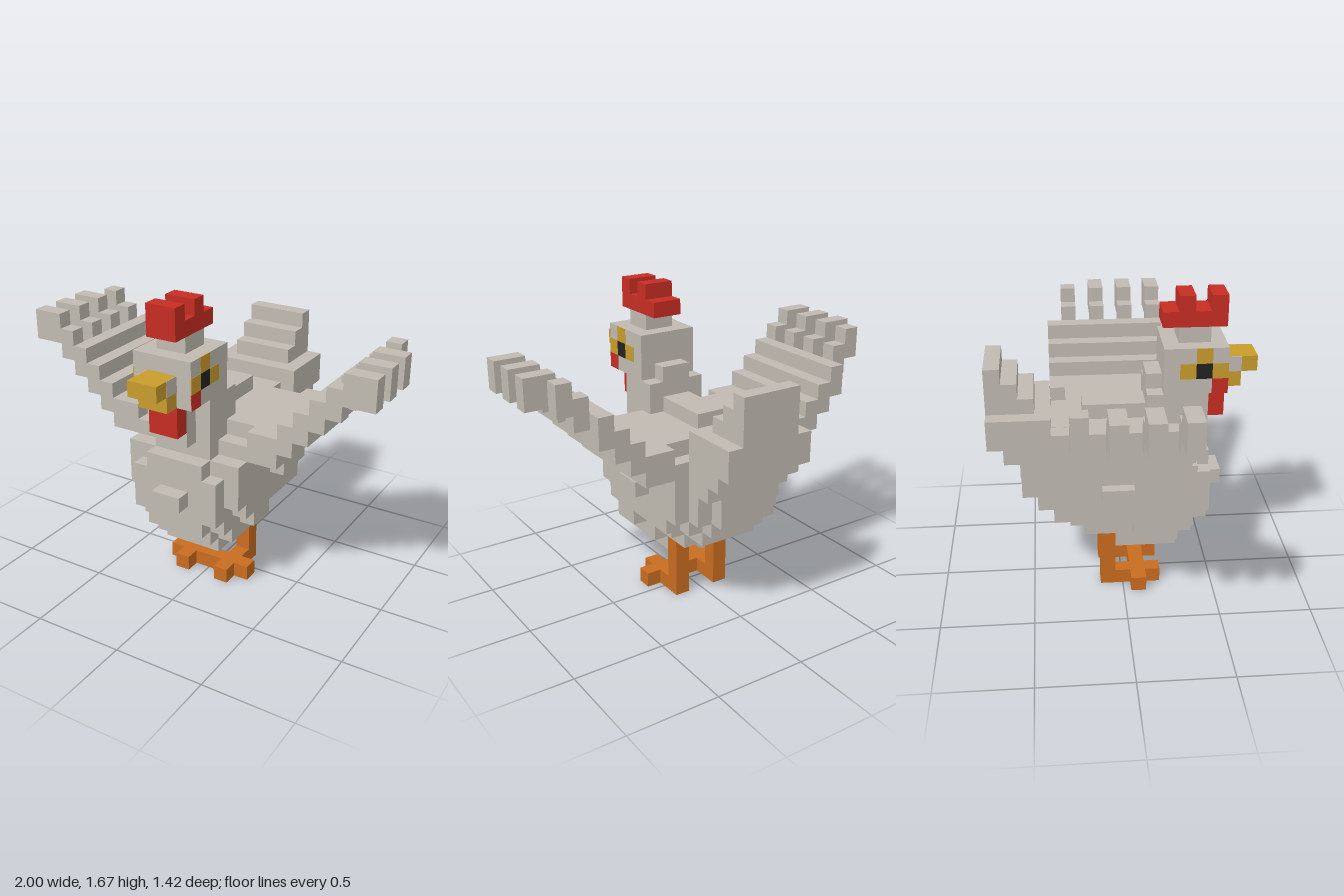
import * as THREE from 'three';

const U = 1 / 12; // one block

const flat = (name, color) => {
  const m = new THREE.MeshStandardMaterial({ color });
  m.name = name;
  return m;
};

export function createModel() {
  const model = new THREE.Group();
  model.name = 'rooster';
  const grey = flat('feather grey', 0xc0bab1);
  const red = flat('comb red', 0xc62d23);
  const gold = flat('beak gold', 0xc89d2c);
  const orange = flat('leg orange', 0xc96c20);
  const black = flat('eye black', 0x222222);

  // Box between two corners given in blocks
  const block = (name, mat, x0, x1, y0, y1, z0, z1) => {
    const g = new THREE.BoxGeometry((x1 - x0) * U, (y1 - y0) * U, (z1 - z0) * U);
    const mesh = new THREE.Mesh(g, mat);
    mesh.position.set((x0 + x1) / 2 * U, (y0 + y1) / 2 * U, (z0 + z1) / 2 * U);
    mesh.name = name;
    model.add(mesh);
  };
  const centred = (name, mat, w, ...r) => block(name, mat, -w, w, ...r);
  const mirrored = (name, mat, x0, x1, ...r) => {
    block('left ' + name, mat, x0, x1, ...r);
    block('right ' + name, mat, -x1, -x0, ...r);
  };

  // Body, in stepped layers: half width, bottom, top, back, front
  [
    [2, 3, 4, -0.5, 3.5],
    [2, 4, 5, -2.5, 4.5], [3, 4, 5, -0.5, 3.5],
    [2, 5, 6, -4.5, 5.5], [3, 5, 6, -2.5, 4.5], [4, 5, 6, 0.5, 2.5],
    [3, 6, 7, -4.5, 4.5], [2, 6, 7, -5.5, 5.5], [3, 6, 7, -4.5, 5.5], [4, 6, 7, -3.5, 3.5],
    [2, 7, 9, -6.5, 5.5], [3, 7, 9, -5.5, 5.5], [4, 7, 10, -4.5, 4.5],
    [2, 9, 10, -5.5, 5.5],
    [4, 10, 11, -4.5, 3.5], [4, 11, 12, -3.5, 2.5], [2, 11, 12, -4.5, 3.5],
  ].forEach((l) => centred('body layer', grey, ...l));
  centred('breast tuft', grey, 1, 7, 8, 5.5, 6.5);
  mirrored('side tuft', grey, 4, 5, 8, 9, -1.5, 0.5);
  centred('back ridge', grey, 1, 12, 13, -2.5, 1.5);

  // Tail
  [
    [3, 9, 10, -6.5, -4.5], [3, 10, 11, -7.5, -4.5], [3, 11, 13, -8.5, -4.5],
    [2, 13, 14, -8.5, -5.5], [2, 14, 15, -8.5, -6.5], [2, 15, 16, -8.5, -7.5],
  ].forEach((l) => centred('tail layer', grey, ...l));

  // Neck and head
  centred('neck', grey, 2, 10, 14, 1.5, 4.5);
  centred('throat', grey, 1, 11, 14, 4.5, 5.5);
  centred('nape', grey, 1, 14, 15, 1.5, 2.5);
  centred('head', grey, 2, 14, 17, 2.5, 6.5);
  centred('crown', grey, 1, 17, 18, 3.5, 5.5);

  // Comb and wattle
  centred('comb', red, 1, 18, 19, 2.5, 6.5);
  centred('front comb tip', red, 1, 19, 20, 5.5, 6.5);
  centred('rear comb tip', red, 1, 19, 20, 3.5, 4.5);
  centred('wattle', red, 1, 12, 14, 5.5, 6.5);

  // Beak
  centred('upper beak', gold, 1, 15, 16, 6.5, 8.5);
  centred('lower beak', gold, 1, 14, 15, 6.5, 7.5);
  mirrored('nostril', grey, 0.97, 1.03, 15, 16, 6.5, 7.5);

  // Painted face patches
  const patch = (name, mat, y, z) => mirrored(name, mat, 1.97, 2.03, y, y + 1, z, z + 1);
  patch('eye', black, 15, 4.5);
  patch('front eye ring', gold, 15, 5.5);
  patch('rear eye ring', gold, 15, 3.5);
  patch('upper eye ring', gold, 16, 4.5);
  patch('cheek', red, 14, 5.5);

  // Wings rising in steps: inner x, outer x, bottom
  [[4, 6, 10], [6, 7, 11], [7, 8, 12], [8, 9, 13]].forEach(([a, b, y]) =>
    mirrored('wing step', grey, a, b, y, y + 2, -4.5, 3.5));

  // Wing tip feathers, the rear one shorter
  [-3.5, -1.5, 0.5, 2.5].forEach((z, i) => {
    mirrored('feather base', grey, 9, 10, 14, 16, z, z + 1);
    mirrored('feather tip', grey, 10, i ? 12 : 11, 15, 17, z, z + 1);
  });

  // Legs and cross-shaped feet
  mirrored('leg', orange, 1, 2, 0, 4, -1.5, -0.5);
  mirrored('middle toe', orange, 1, 2, 0, 1, -0.5, 2.5);
  mirrored('side toes', orange, 0, 3, 0, 1, 0.5, 1.5);

  return model;
}
